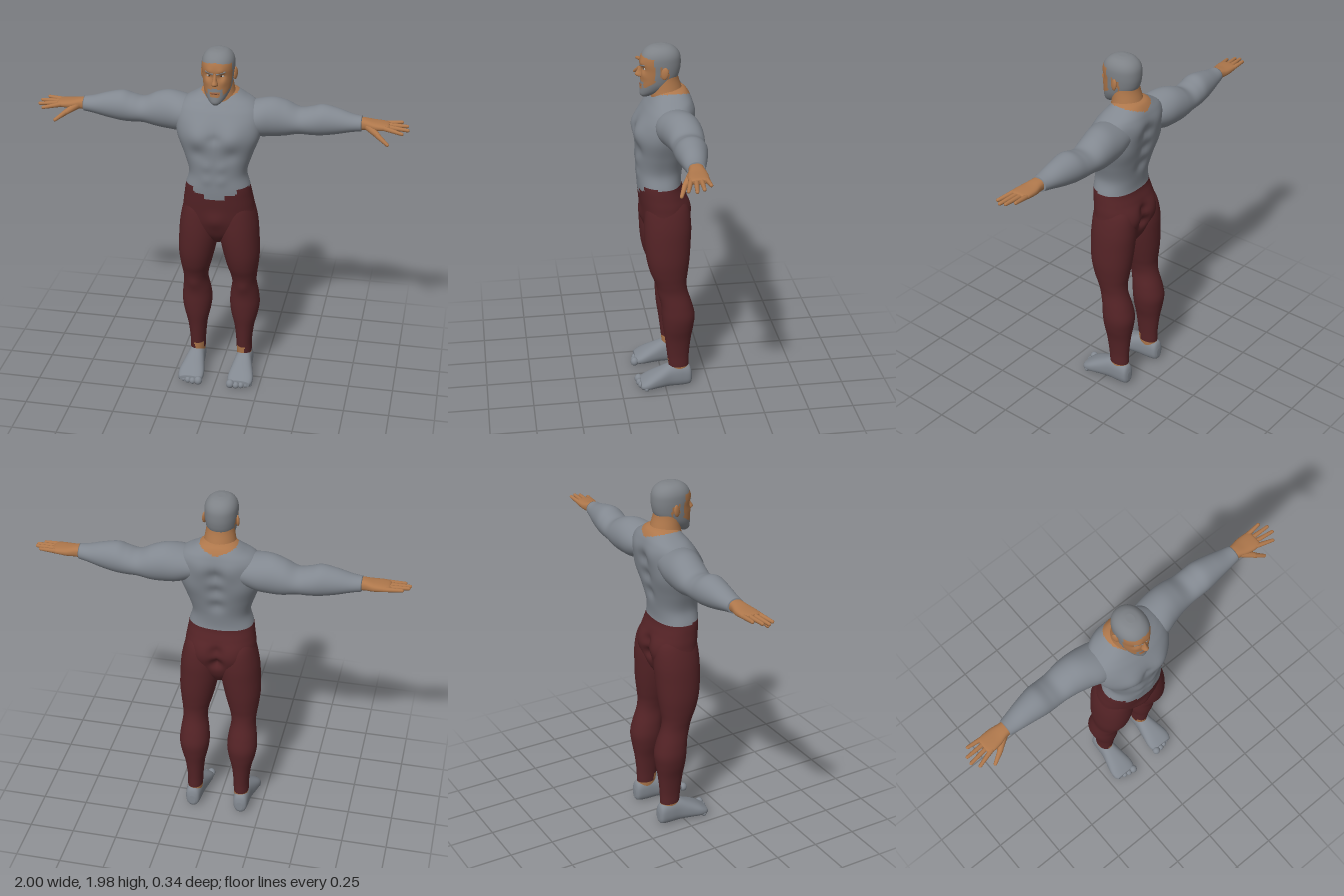
import * as THREE from 'three';

const mat = (name, color) => Object.assign(new THREE.MeshStandardMaterial({ color }), { name });

// Catmull-Rom through rows of numbers
function smoothRows(rows, steps) {
  const out = [];
  for (let i = 0; i < rows.length - 1; i++) {
    const p = [Math.max(i - 1, 0), i, i + 1, Math.min(i + 2, rows.length - 1)].map(k => rows[k]);
    for (let s = 0; s < steps; s++) {
      const t = s / steps;
      out.push(p[1].map((b, c) => {
        const a = p[0][c], d = p[2][c], e = p[3][c];
        return b + 0.5 * t * (d - a + t * (2 * a - 5 * b + 4 * d - e + t * (3 * (b - d) + e - a)));
      }));
    }
  }
  out.push(rows[rows.length - 1]);
  return out;
}

// Closed skin over cross-sections [t, aMin, aMax, bMin, bMax] along an axis (0 x, 1 y, 2 z).
// (a, b) are the next two axes in cyclic order. bumps: [x, y, z, radius, push in z], mirrored in x.
// rule(x, y, z) picks the material of each face.
function loft(axis, rows, { steps = 6, sides = 40, square = 2, bumps = [], rule = () => 0, mirror = false } = {}) {
  const rings = smoothRows(rows, steps), pos = [], groups = [[], [], []];
  const put = (t, a, b) => {
    const p = [0, 0, 0];
    p[axis] = t; p[(axis + 1) % 3] = a; p[(axis + 2) % 3] = b;
    let dz = 0;
    for (const [x, y, z, r, amt] of bumps) {
      const d2 = (Math.abs(p[0]) - x) ** 2 + (p[1] - y) ** 2 + (p[2] - z) ** 2;
      dz += amt * Math.sign(z) * Math.exp(-d2 / (r * r));
    }
    pos.push(mirror ? -p[0] : p[0], p[1], p[2] + dz);
  };
  const bend = v => Math.sign(v) * Math.abs(v) ** (2 / square);
  for (const [t, a0, a1, b0, b1] of rings) {
    for (let j = 0; j < sides; j++) {
      const u = j / sides * Math.PI * 2;
      put(t, (a0 + a1) / 2 + (a1 - a0) / 2 * bend(Math.cos(u)), (b0 + b1) / 2 + (b1 - b0) / 2 * bend(Math.sin(u)));
    }
  }
  const ends = [rings[0], rings[rings.length - 1]];
  for (const [t, a0, a1, b0, b1] of ends) put(t, (a0 + a1) / 2, (b0 + b1) / 2);
  const face = (...ids) => {
    const c = [0, 1, 2].map(k => ids.reduce((s, i) => s + pos[i * 3 + k], 0) / ids.length);
    const g = groups[rule(...c)];
    for (let k = 1; k < ids.length - 1; k++) {
      if (mirror) g.push(ids[0], ids[k + 1], ids[k]);
      else g.push(ids[0], ids[k], ids[k + 1]);
    }
  };
  const n = rings.length, bottom = n * sides;
  for (let j = 0; j < sides; j++) {
    const k = (j + 1) % sides;
    for (let i = 0; i < n - 1; i++) face(i * sides + j, i * sides + k, (i + 1) * sides + k, (i + 1) * sides + j);
    face(bottom, k, j);
    face(bottom + 1, (n - 1) * sides + j, (n - 1) * sides + k);
  }
  const geo = new THREE.BufferGeometry();
  geo.setAttribute('position', new THREE.Float32BufferAttribute(pos, 3));
  geo.setIndex(groups.flat());
  let start = 0;
  groups.forEach((g, m) => { if (g.length) geo.addGroup(start, g.length, m); start += g.length; });
  geo.computeVertexNormals();
  return geo;
}

// Tapered rounded rod between two points
function rod(from, to, r0, r1) {
  const a = new THREE.Vector3(...from), b = new THREE.Vector3(...to), len = a.distanceTo(b);
  const geo = new THREE.CapsuleGeometry(1, 1, 5, 12);
  const p = geo.attributes.position;
  for (let i = 0; i < p.count; i++) {
    const y = p.getY(i), top = y > 0, r = top ? r1 : r0;
    const cap = top ? y - 0.5 : y + 0.5;
    p.setXYZ(i, p.getX(i) * r, (top ? len / 2 - r1 : -len / 2) + cap * r, p.getZ(i) * r);
  }
  geo.computeVertexNormals();
  geo.applyQuaternion(new THREE.Quaternion().setFromUnitVectors(new THREE.Vector3(0, 1, 0), b.clone().sub(a).normalize()));
  return geo.translate((a.x + b.x) / 2, (a.y + b.y) / 2, (a.z + b.z) / 2);
}

const ball = (x, y, z, rx, ry, rz) => new THREE.SphereGeometry(1, 20, 14).scale(rx, ry, rz).translate(x, y, z);

export function createModel() {
  const model = new THREE.Group();
  model.name = 'figure';
  const shirt = mat('shirt grey', 0x828890), trousers = mat('trouser maroon', 0x542326);
  const skin = mat('skin', 0xae774b), hair = mat('hair grey', 0x7e8287);
  const lip = mat('lip', 0x8a5339), eyeWhite = mat('eye white', 0xc9c4bc), dark = mat('pupil dark', 0x2a2320);
  const add = (name, geo, material) => {
    const m = new THREE.Mesh(geo, material);
    m.name = name;
    model.add(m);
    return m;
  };

  // Torso and hips, with a stepped shirt hem and a low neckline
  const sym = (y, z0, z1, w) => [y, z0, z1, -w, w];
  add('torso', loft(1, [
    sym(0.87, -0.07, 0.04, 0.03), sym(0.93, -0.11, 0.085, 0.12), sym(1.0, -0.128, 0.108, 0.195),
    sym(1.1, -0.135, 0.123, 0.193), sym(1.16, -0.12, 0.13, 0.184), sym(1.22, -0.102, 0.135, 0.174),
    sym(1.3, -0.108, 0.137, 0.156), sym(1.4, -0.128, 0.142, 0.185), sym(1.5, -0.145, 0.145, 0.222),
    sym(1.58, -0.158, 0.127, 0.232), sym(1.64, -0.162, 0.098, 0.222), sym(1.68, -0.156, 0.07, 0.19),
    sym(1.71, -0.145, 0.047, 0.14), sym(1.738, -0.125, 0.025, 0.095), sym(1.75, -0.1, 0.01, 0.07),
  ], {
    steps: 8, sides: 72, square: 2.3,
    bumps: [
      [0.09, 1.53, 0.14, 0.065, 0.02], [0, 1.52, 0.15, 0.028, -0.012], [0.09, 1.43, 0.14, 0.04, -0.01],
      [0.04, 1.36, 0.14, 0.03, 0.006], [0.04, 1.28, 0.14, 0.03, 0.006],
      [0.14, 1.5, -0.12, 0.08, 0.012], [0.08, 1.62, -0.15, 0.06, 0.01],
      [0, 1.58, -0.16, 0.04, -0.02], [0, 1.48, -0.15, 0.04, -0.02], [0, 1.38, -0.13, 0.04, -0.018],
      [0.085, 1.06, -0.13, 0.075, 0.022], [0, 1.02, -0.13, 0.03, -0.035], [0, 1.1, -0.13, 0.03, -0.02],
      [0, 1.03, 0.11, 0.05, 0.015],
    ],
    rule: (x, y, z) => {
      const ax = Math.abs(x);
      if (y > 1.7 + ax * 0.35 && ax < 0.1) return 2;
      const hem = z > 0.04 ? (ax < 0.06 ? 1.168 : ax < 0.115 ? 1.198 : 1.225) : 1.22;
      return y > hem ? 0 : 1;
    },
  }), [shirt, trousers, skin]);

  // Neck
  add('neck', loft(1, [
    sym(1.62, -0.12, 0.05, 0.09), sym(1.7, -0.12, 0.058, 0.092), sym(1.75, -0.104, 0.054, 0.082),
    sym(1.8, -0.088, 0.05, 0.074), sym(1.85, -0.08, 0.04, 0.07),
  ]), skin);

  // Head with cropped hair, sideburns and a jaw beard
  add('head', loft(1, [
    sym(1.698, 0.075, 0.098, 0.012), sym(1.712, 0.045, 0.11, 0.032), sym(1.735, -0.005, 0.114, 0.052),
    sym(1.77, -0.055, 0.114, 0.069), sym(1.81, -0.085, 0.113, 0.078), sym(1.85, -0.097, 0.111, 0.083),
    sym(1.89, -0.1, 0.115, 0.086), sym(1.925, -0.096, 0.108, 0.084), sym(1.952, -0.08, 0.09, 0.072),
    sym(1.971, -0.052, 0.062, 0.05), sym(1.979, -0.02, 0.03, 0.02),
  ], {
    steps: 8, sides: 80, square: 2.15,
    bumps: [
      [0.033, 1.86, 0.1, 0.018, -0.012], [0.03, 1.885, 0.105, 0.02, 0.005],
      [0.045, 1.825, 0.095, 0.022, 0.004], [0, 1.715, 0.1, 0.025, 0.006],
    ],
    rule: (x, y, z) => {
      const ax = Math.abs(x);
      const crown = y > (z > 0.05 ? 1.932 - ax * 0.15 : z > 0.01 ? 1.88 : z > -0.03 ? 1.865 : 1.805);
      const sideburn = z > 0.015 && z < 0.045 && y > 1.76 && y < 1.9;
      const beard = z > -0.02 && y < 1.822 - 0.66 * z;
      const moustache = z > 0.08 && ax < 0.04 && (y > 1.776 && y < 1.795 - ax * 0.2 || ax > 0.027 && y < 1.785);
      return crown || sideburn || beard || moustache ? 1 : 0;
    },
  }), [skin, hair]);

  // Face
  add('nose', loft(1, [
    sym(1.808, 0.09, 0.116, 0.012), sym(1.814, 0.09, 0.133, 0.018), sym(1.824, 0.09, 0.141, 0.017),
    sym(1.842, 0.09, 0.13, 0.011), sym(1.866, 0.09, 0.118, 0.009), sym(1.885, 0.09, 0.112, 0.008),
  ], { sides: 20, steps: 4 }), skin);
  add('mouth', ball(0, 1.767, 0.111, 0.022, 0.005, 0.006), lip);

  for (const s of [1, -1]) {
    const side = s > 0 ? 'left' : 'right', mirror = s < 0;
    const named = n => side + n;

    add(named('Eye'), ball(s * 0.033, 1.86, 0.09, 0.014, 0.006, 0.01), eyeWhite);
    add(named('Pupil'), ball(s * 0.032, 1.86, 0.0965, 0.005, 0.005, 0.005), dark);
    add(named('Eyebrow'), rod([s * 0.012, 1.874, 0.113], [s * 0.054, 1.884, 0.097], 0.005, 0.004), hair);
    const ear = add(named('Ear'), ball(0, 0, 0, 0.009, 0.033, 0.02), skin);
    ear.position.set(s * 0.087, 1.845, -0.005);
    ear.rotation.set(-0.15, s * -0.35, 0);

    // Sleeved arm
    add(named('Sleeve'), loft(0, [
      [0.1, 1.53, 1.66, -0.14, 0.05], [0.2, 1.492, 1.688, -0.163, 0.06], [0.28, 1.487, 1.697, -0.17, 0.038],
      [0.35, 1.492, 1.68, -0.17, 0.02], [0.42, 1.507, 1.648, -0.163, 0.01], [0.48, 1.506, 1.658, -0.16, 0.01],
      [0.54, 1.508, 1.674, -0.156, 0.01], [0.62, 1.522, 1.66, -0.14, 0.0], [0.7, 1.542, 1.637, -0.12, -0.01],
      [0.75, 1.55, 1.63, -0.107, -0.017],
    ], { mirror }), shirt);

    // Hand
    add(named('Palm'), loft(0, [
      [0.72, 1.557, 1.625, -0.1, -0.024], [0.765, 1.562, 1.622, -0.1, -0.022], [0.81, 1.565, 1.614, -0.108, -0.01],
      [0.855, 1.57, 1.61, -0.108, -0.004], [0.885, 1.574, 1.606, -0.104, -0.008], [0.895, 1.582, 1.6, -0.09, -0.02],
    ], { mirror, square: 2.5, steps: 4, sides: 28 }), skin);
    [[-0.017, 0.972, 1.575, 0.012], [-0.042, 1.0, 1.583, -0.026], [-0.067, 0.995, 1.592, -0.062], [-0.093, 0.965, 1.599, -0.1]]
      .forEach(([z0, x, y, z], i) =>
        add(named('Finger' + (i + 1)), rod([s * 0.87, 1.59, z0], [s * x, y, z], 0.0135, 0.009), skin));
    add(named('ThumbBase'), rod([s * 0.785, 1.585, -0.035], [s * 0.85, 1.55, 0.012], 0.021, 0.015), skin);
    add(named('Thumb'), rod([s * 0.84, 1.555, 0.006], [s * 0.9, 1.514, 0.035], 0.0145, 0.009), skin);

    // Trouser leg with a bare ankle showing under the cuff
    add(named('Leg'), loft(1, [
      [0.06, -0.125, -0.03, 0.1, 0.17], [0.13, -0.133, -0.02, 0.093, 0.177], [0.2, -0.135, -0.012, 0.09, 0.178],
      [0.3, -0.145, 0, 0.08, 0.19], [0.38, -0.158, 0.012, 0.062, 0.21], [0.45, -0.165, 0.018, 0.053, 0.22],
      [0.52, -0.15, 0.022, 0.058, 0.215], [0.6, -0.125, 0.035, 0.07, 0.205], [0.66, -0.118, 0.055, 0.062, 0.21],
      [0.72, -0.125, 0.08, 0.045, 0.218], [0.8, -0.135, 0.1, 0.025, 0.225], [0.9, -0.142, 0.11, 0.006, 0.222],
      [1.0, -0.145, 0.11, 0, 0.213], [1.1, -0.13, 0.1, 0.01, 0.19], [1.17, -0.08, 0.07, 0.04, 0.16],
    ], {
      mirror, square: 2.1, bumps: [[0.138, 0.59, 0.03, 0.04, 0.008]],
      rule: (x, y, z) => y < (z > -0.05 && Math.abs(x) < 0.145 ? 0.172 : 0.132) ? 1 : 0,
    }), [trousers, skin]);

    // Foot and toes
    add(named('Foot'), loft(2, [
      [-0.152, 0.122, 0.155, 0.025, 0.08], [-0.138, 0.102, 0.177, 0.006, 0.122], [-0.09, 0.093, 0.184, 0, 0.142],
      [-0.03, 0.088, 0.188, 0, 0.138], [0.03, 0.078, 0.202, 0, 0.112], [0.085, 0.07, 0.214, 0, 0.084],
      [0.12, 0.073, 0.212, 0.002, 0.062], [0.14, 0.085, 0.2, 0.008, 0.048],
    ], { mirror, square: 2.4 }), shirt);
    [[0.092, 0.145, 0.023], [0.125, 0.145, 0.018], [0.153, 0.138, 0.017], [0.178, 0.127, 0.016], [0.199, 0.112, 0.015]]
      .forEach(([x, z, r], i) => add(named('Toe' + (i + 1)), ball(s * x, r + 0.004, z, r, r * 1.1, r), shirt));
  }
  return model;
}
